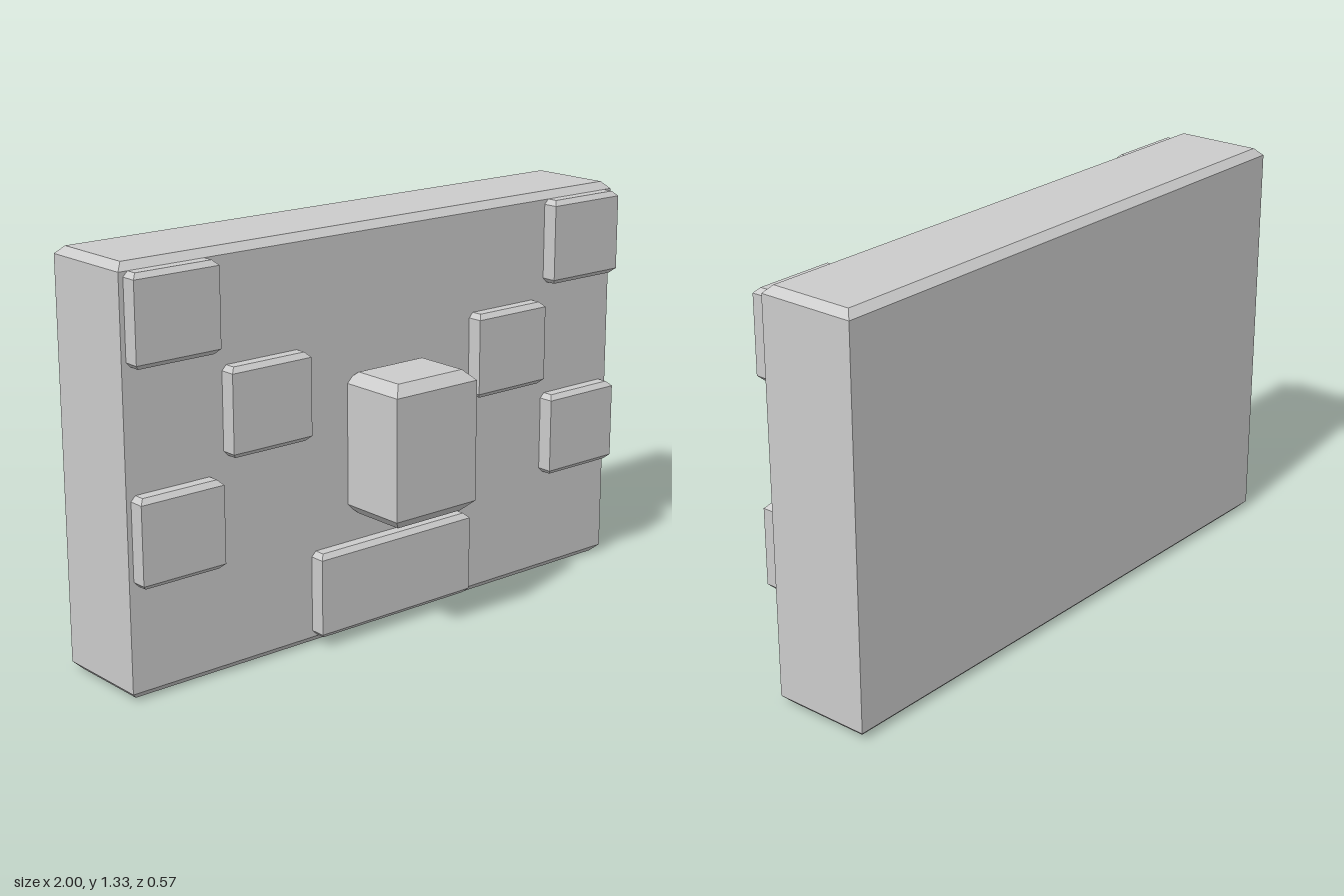
import * as THREE from 'three';

const material = new THREE.MeshStandardMaterial({ color: 0xcccccc, flatShading: true });

// Box whose top and bottom rims are chamfered on all four sides; its upright edges stay sharp.
function chamferedBlock(name, [x0, x1], [y0, y1], [z0, z1], chamfer) {
  const w = x1 - x0, h = y1 - y0, d = z1 - z0;
  const box = new THREE.BoxGeometry(w, h, d, 1, 3, 1);
  const p = box.attributes.position;
  for (let i = 0; i < p.count; i++) {
    const y = p.getY(i);
    if (Math.abs(y) > h * 0.4) {
      // outer rings: pull in to form the small top and bottom faces
      p.setX(i, Math.sign(p.getX(i)) * (w / 2 - chamfer));
      p.setZ(i, Math.sign(p.getZ(i)) * (d / 2 - chamfer));
    } else {
      // inner rings: slide outwards to the start of the chamfer
      p.setY(i, Math.sign(y) * (h / 2 - chamfer));
    }
  }
  const geometry = box.toNonIndexed();
  geometry.computeVertexNormals();
  const mesh = new THREE.Mesh(geometry, material);
  mesh.name = name;
  mesh.position.set((x0 + x1) / 2, (y0 + y1) / 2, (z0 + z1) / 2);
  return mesh;
}

export function createModel() {
  const group = new THREE.Group();
  group.name = 'blockFacePanel';

  // Main slab, with the central block and the wide bottom plate
  group.add(
    chamferedBlock('slab', [-1, 1], [0, 1.333], [-0.283, 0.05], 0.024),
    chamferedBlock('centreBlock', [-0.166, 0.166], [0.402, 0.868], [0.03, 0.285], 0.034),
    chamferedBlock('bottomPlate', [-0.315, 0.315], [0.03, 0.311], [0.02, 0.102], 0.016)
  );

  // Square plates, mirrored left and right: name, inner x, outer x, bottom, top
  const plates = [
    ['UpperPlate', 0.686, 0.984, 1.028, 1.309],
    ['MiddlePlate', 0.35, 0.648, 0.696, 0.977],
    ['LowerPlate', 0.686, 0.984, 0.362, 0.643]
  ];
  for (const [name, inner, outer, bottom, top] of plates) {
    group.add(
      chamferedBlock('left' + name, [inner, outer], [bottom, top], [0.02, 0.102], 0.016),
      chamferedBlock('right' + name, [-outer, -inner], [bottom, top], [0.02, 0.102], 0.016)
    );
  }
  return group;
}
